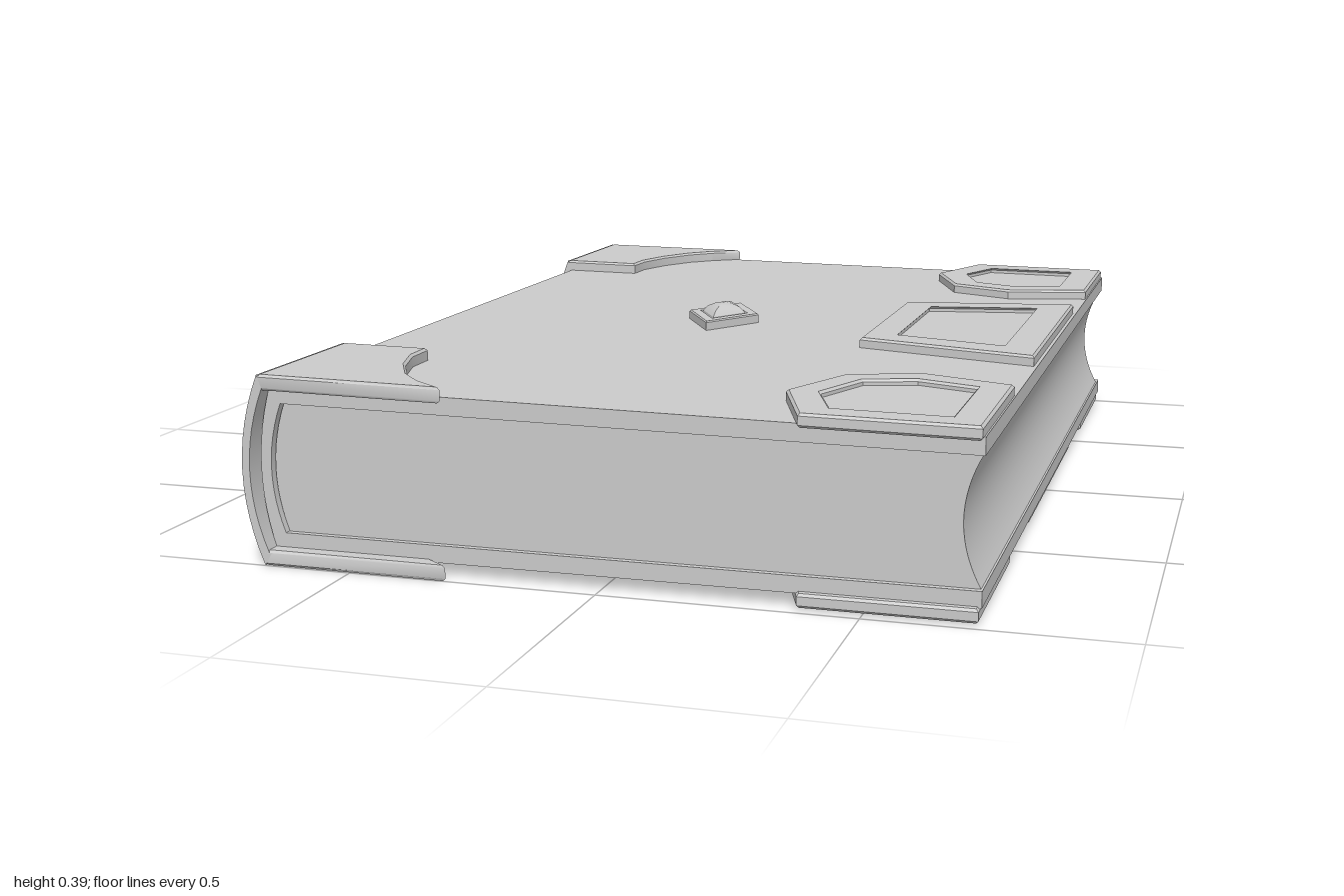
import * as THREE from 'three';
import { toCreasedNormals } from 'three/addons/utils/BufferGeometryUtils.js';

const material = new THREE.MeshStandardMaterial({ color: 0xcccccc, side: THREE.DoubleSide });
const MID = 0.19; // height of the middle of the spine

const toShape = (pts) => new THREE.Shape(pts.map(([x, y]) => new THREE.Vector2(x, y)));

function addMesh(parent, name, geometry) {
  const mesh = new THREE.Mesh(toCreasedNormals(geometry, 0.45), material);
  mesh.name = name;
  parent.add(mesh);
  return mesh;
}

// Bowed line from yStart to yEnd: xMid at half height, xEnd at both ends
function bow(xEnd, xMid, yStart, yEnd, n = 12) {
  return Array.from({ length: n + 1 }, (_, i) => {
    const t = (i / n) * 2 - 1;
    return [xMid + (xEnd - xMid) * t * t, yStart + ((yEnd - yStart) * i) / n];
  });
}

// Side profile (x, y) swept along z
function sweep(parent, name, pts, z0, z1) {
  const geo = new THREE.ExtrudeGeometry(toShape(pts), { depth: z1 - z0, bevelEnabled: false });
  geo.translate(0, 0, z0);
  return addMesh(parent, name, geo);
}

// Flat plan outline (x, z) raised in y with a small chamfer on its top rim
function plate(parent, name, outline, hole, height, chamfer = 0.005) {
  const flip = (pts) => pts.map(([x, z]) => [x, -z]);
  const shape = toShape(flip(outline));
  if (hole) shape.holes.push(toShape(flip(hole)));
  const geo = new THREE.ExtrudeGeometry(shape, {
    depth: height - chamfer, bevelEnabled: chamfer > 0, bevelThickness: chamfer,
    bevelSize: chamfer, bevelOffset: -chamfer, bevelSegments: 1,
  });
  geo.rotateX(-Math.PI / 2);
  return addMesh(parent, name, geo);
}

// Raised frame around a shallow sunken panel
function framedPlate(parent, name, outline, inner, height) {
  const group = new THREE.Group();
  group.name = name;
  plate(group, 'frame', outline, inner, height);
  plate(group, 'sunkenPanel', inner, null, height * 0.45, 0);
  parent.add(group);
}

const mirrorZ = (pts, s) => pts.map(([x, z]) => [x, z * s]);

const cornerOuter = [[0.38, 0.985], [0.71, 0.985], [0.71, 0.61], [0.525, 0.553], [0.38, 0.61], [0.308, 0.79]];
const cornerInner = [[0.425, 0.92], [0.645, 0.92], [0.645, 0.655], [0.525, 0.618], [0.425, 0.655], [0.375, 0.79]];
const claspOuter = [[0.32, -0.292], [0.706, -0.385], [0.706, 0.307], [0.32, 0.217]];
const claspInner = [[0.385, -0.242], [0.636, -0.302], [0.636, 0.217], [0.385, 0.16]];
const bracketOutline = [[-0.68, 1], [-0.3, 1], [-0.365, 0.95], [-0.415, 0.895], [-0.46, 0.81],
  [-0.488, 0.72], [-0.49, 0.645], [-0.68, 0.645]];

// Metal fittings lying on one cover board, y = 0 being the board's surface
function boardFittings(name) {
  const board = new THREE.Group();
  board.name = name;
  for (const [s, end] of [[1, 'front'], [-1, 'back']]) {
    framedPlate(board, end + 'CornerPlate', mirrorZ(cornerOuter, s), mirrorZ(cornerInner, s), 0.022);
    plate(board, end + 'SpineBracketPlate', mirrorZ(bracketOutline, s), null, 0.026);
  }
  framedPlate(board, 'edgePlate', claspOuter, claspInner, 0.022);
  return board;
}

export function createModel() {
  const book = new THREE.Group();
  book.name = 'book';

  // Cover: two boards joined by a bowed spine
  sweep(book, 'cover', [
    [0.713, 0.028], [0.713, 0.06], ...bow(-0.65, -0.675, 0.06, 0.317),
    [0.713, 0.305], [0.713, 0.339], ...bow(-0.67, -0.697, 0.353, 0.025),
  ], -0.995, 0.968);

  // Page block with a hollow fore edge
  sweep(book, 'pages', [
    ...bow(-0.648, -0.673, 0.318, 0.058), ...bow(0.71, 0.675, 0.058, 0.307, 16),
  ], -0.965, 0.955);

  // Brackets wrapped around both ends of the spine
  const wrap = [...bow(-0.68, -0.72, 0.378, 0.001), [-0.665, 0.026], ...bow(-0.67, -0.704, 0.026, 0.352)];
  sweep(book, 'frontSpineBracket', wrap, 0.645, 1);
  sweep(book, 'backSpineBracket', wrap, -1, -0.645);

  // Fittings on the slightly sloping upper board and, mirrored, on the lower board
  const upper = boardFittings('upperFittings');
  upper.position.y = 0.346;
  upper.rotation.z = -0.0098;
  book.add(upper);
  const lower = boardFittings('lowerFittings');
  lower.position.y = 0.0265;
  lower.scale.y = -1;
  book.add(lower);

  // Diamond ornament: rhombic frame holding a low faceted gem
  const ornament = new THREE.Group();
  ornament.name = 'ornament';
  ornament.position.set(-0.053, 0, -0.015);
  const rhombus = (a, b) => [[-a, 0], [0, b], [a, 0], [0, -b]];
  plate(ornament, 'ornamentFrame', rhombus(0.083, 0.14), rhombus(0.053, 0.09), 0.021, 0.003);
  const gemProfile = [[0.053, 0], [0.05, 0.022], [0.038, 0.034], [0.02, 0.041], [0, 0.043]]
    .map(([r, y]) => new THREE.Vector2(r, y));
  const gem = new THREE.LatheGeometry(gemProfile, 4);
  gem.scale(1, 1, 1.7);
  addMesh(ornament, 'gem', gem);
  upper.add(ornament);

  // Keep the chosen height while resting exactly on the ground
  const box = new THREE.Box3().setFromObject(book);
  book.children.forEach((part) => { part.position.y -= box.min.y; });
  return book;
}
